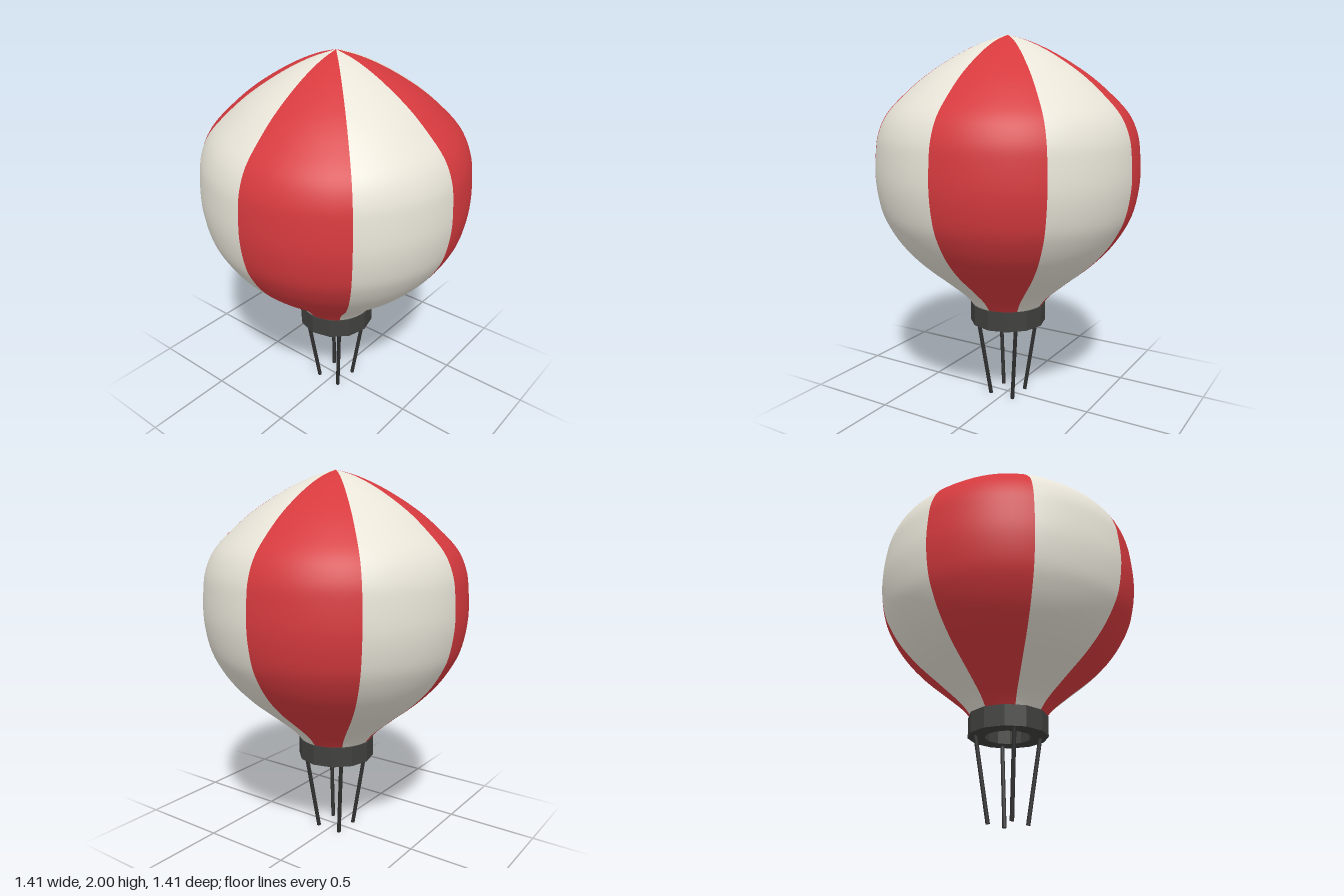
import * as THREE from 'three';

const paint = (color, extra = {}) => new THREE.MeshStandardMaterial({ color, ...extra });

export function createModel() {
  const model = new THREE.Group();
  const red = paint(0xd63a3e, { side: THREE.DoubleSide });
  const cream = paint(0xe8e4d8, { side: THREE.DoubleSide });
  const dark = paint(0x40403e, { flatShading: true });
  const black = paint(0x303030);

  const add = (name, geometry, material) => {
    const mesh = new THREE.Mesh(geometry, material);
    mesh.name = name;
    model.add(mesh);
    return mesh;
  };

  // Envelope: eight gores of one smooth profile, alternating red and cream
  const profile = new THREE.SplineCurve([
    [0.2, 0.55], [0.25, 0.61], [0.355, 0.7], [0.475, 0.8], [0.57, 0.9],
    [0.637, 1.0], [0.68, 1.1], [0.705, 1.25], [0.7, 1.4], [0.683, 1.5],
    [0.635, 1.6], [0.54, 1.7], [0.42, 1.8], [0.26, 1.9], [0.12, 1.965], [0, 2],
  ].map(([r, y]) => new THREE.Vector2(r, y))).getPoints(60);
  const gore = Math.PI / 4;
  for (let i = 0; i < 8; i++) {
    add(`envelopeGore${i + 1}`, new THREE.LatheGeometry(profile, 10, i * gore, gore), i % 2 ? cream : red);
  }

  // Faceted ring at the mouth, open in the middle
  const section = [[0.122, 0.44], [0.21, 0.44], [0.21, 0.55], [0.122, 0.55], [0.122, 0.44]]
    .map(([r, y]) => new THREE.Vector2(r, y));
  add('mouthRing', new THREE.LatheGeometry(section, 12), dark);

  // Four struts leaning inwards towards the ground
  const up = new THREE.Vector3(0, 1, 0);
  for (const sx of [-1, 1]) {
    for (const sz of [-1, 1]) {
      const top = new THREE.Vector3(0.121 * sx, 0.45, 0.121 * sz);
      const foot = new THREE.Vector3(0.071 * sx, 0.002, 0.071 * sz);
      const axis = top.clone().sub(foot);
      const strut = add('strut', new THREE.CylinderGeometry(0.011, 0.011, axis.length(), 8), black);
      strut.position.copy(top).add(foot).multiplyScalar(0.5);
      strut.quaternion.setFromUnitVectors(up, axis.normalize());
    }
  }
  return model;
}
